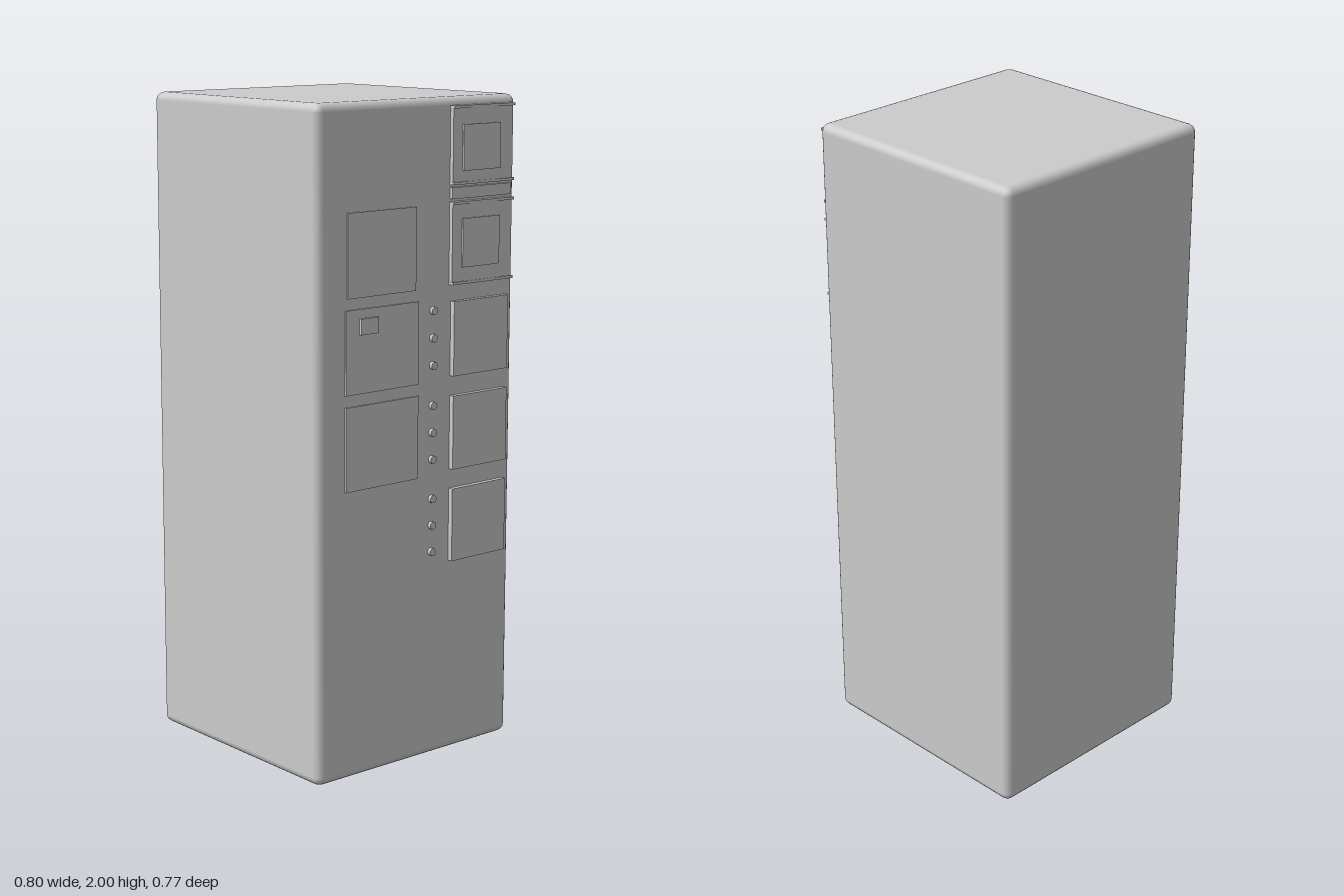
import * as THREE from 'three';
import { RoundedBoxGeometry } from 'three/addons/geometries/RoundedBoxGeometry.js';

const SIDE = 0.375; // x of the wall that carries the fittings
const grey = new THREE.MeshStandardMaterial({ color: 0xcccccc });

function add(parent, name, geometry, x = 0, y = 0, z = 0) {
  const mesh = new THREE.Mesh(geometry, grey);
  mesh.name = name;
  mesh.position.set(x, y, z);
  parent.add(mesh);
  return mesh;
}

// Thin slab on the side wall, given by its y and z limits and its outer x
function slab(parent, name, y0, y1, z0, z1, outer) {
  const inner = SIDE - 0.005;
  return add(parent, name, new THREE.BoxGeometry(outer - inner, y1 - y0, z1 - z0),
    (outer + inner) / 2, (y0 + y1) / 2, (z0 + z1) / 2);
}

// Upright plate whose outer face bows gently outward between z0 and z1
function bowedPlate(parent, name, y0, y1, z0, z1, edgeX, midX) {
  const shape = new THREE.Shape();
  shape.moveTo(SIDE - 0.005, -z1);
  shape.lineTo(edgeX, -z1);
  shape.quadraticCurveTo(2 * midX - edgeX, -(z0 + z1) / 2, edgeX, -z0);
  shape.lineTo(SIDE - 0.005, -z0);
  const geometry = new THREE.ExtrudeGeometry(shape, { depth: y1 - y0, bevelEnabled: false, curveSegments: 10 });
  geometry.rotateX(-Math.PI / 2);
  return add(parent, name, geometry, 0, y0, 0);
}

export function createModel() {
  const model = new THREE.Group();
  model.name = 'controlCabinet';

  // Cabinet with softly rounded edges
  add(model, 'cabinetBody', new RoundedBoxGeometry(0.775, 2, 0.775, 2, 0.025), -0.0125, 1, -0.0015);

  // Two switch units at the upper rear corner
  [[1.745, 1.975, 1.785, 1.92], [1.45, 1.695, 1.50, 1.645]].forEach(([y0, y1, p0, p1], i) => {
    const unit = new THREE.Group();
    unit.name = i ? 'lowerSwitch' : 'upperSwitch';
    model.add(unit);
    bowedPlate(unit, 'switchPlate', y0, y1, -0.362, -0.12, 0.388, 0.393);
    bowedPlate(unit, 'switchPaddle', p0, p1, -0.305, -0.155, 0.396, 0.399);
    // Slim lips along the top and bottom of the plate
    slab(unit, 'bottomLip', y0, y0 + 0.008, -0.364, -0.118, 0.395);
    slab(unit, 'topLip', y1 - 0.008, y1, -0.364, -0.118, 0.395);
  });
  slab(model, 'switchDivider', 1.703, 1.737, -0.36, -0.12, 0.386);

  // Three display plates, each with a column of indicator lamps
  for (let i = 0; i < 3; i++) {
    const y = 0.605 + i * 0.285;
    slab(model, 'displayPlate', y, y + 0.225, -0.35, -0.128, 0.391);
    for (let j = 0; j < 3; j++) {
      const lamp = add(model, 'indicatorLamp', new THREE.CylinderGeometry(0.012, 0.012, 0.015, 16),
        0.3785, y + 0.04 + j * 0.082, -0.056);
      lamp.rotation.z = -Math.PI / 2;
    }
  }

  // Flat access panels towards the front
  slab(model, 'lowerPanel', 0.88, 1.13, 0.003, 0.284, 0.38);
  slab(model, 'middlePanel', 1.165, 1.412, 0.003, 0.284, 0.38);
  slab(model, 'upperPanel', 1.445, 1.69, 0.015, 0.276, 0.38);
  slab(model, 'panelLatch', 1.338, 1.385, 0.166, 0.233, 0.389);

  return model;
}
